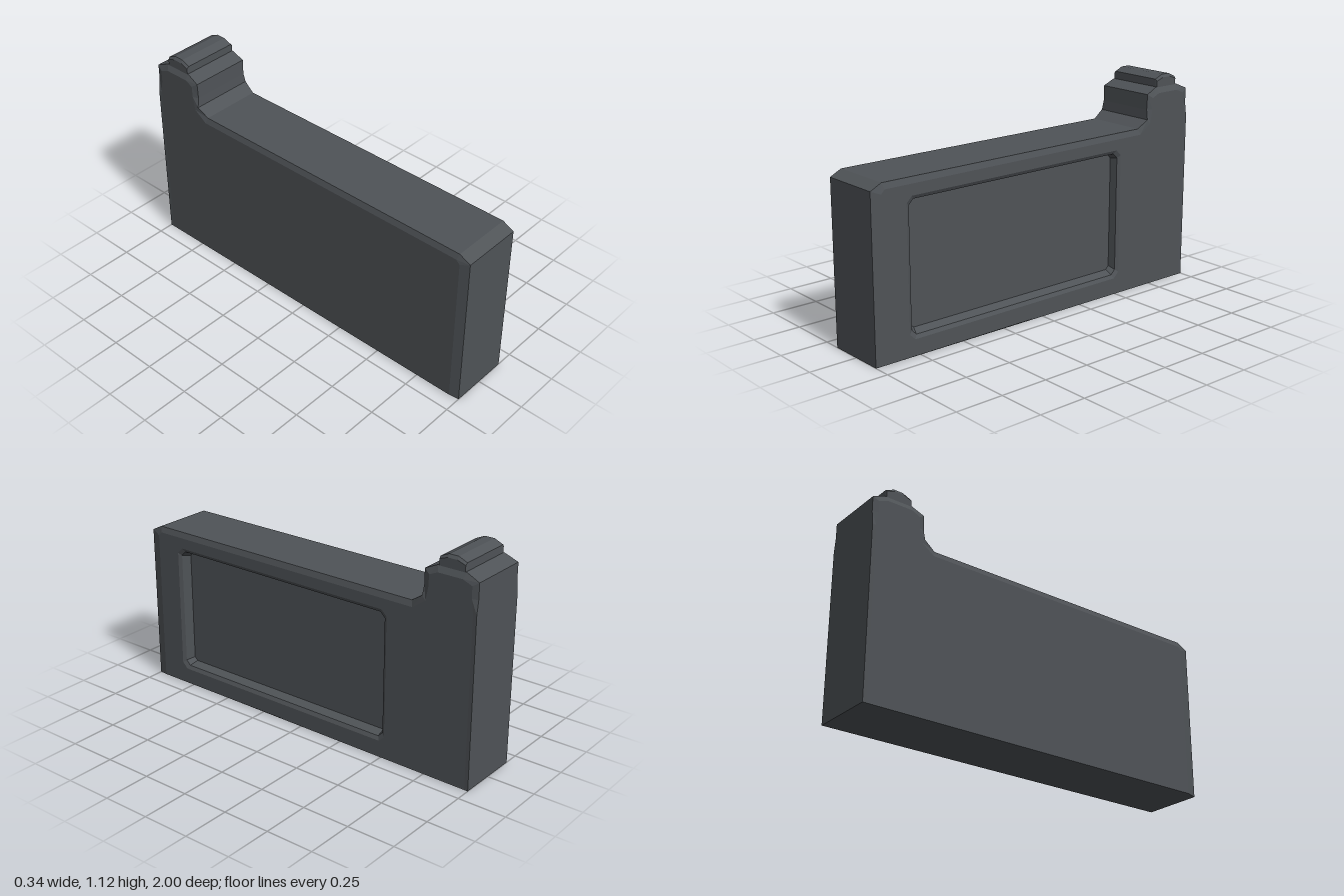
import * as THREE from 'three';
import { mergeGeometries } from 'three/addons/utils/BufferGeometryUtils.js';

// Profiles are [u, y] points, counter-clockwise, with u = -z; rings add w = depth along x.
const vec = (pts) => pts.map(([u, y]) => new THREE.Vector2(u, y));
const at = (pts, w) => pts.map(([u, y]) => [u, y, w]);
const mirrored = (ring) => ring.map(([u, y, w]) => [u, y, -w]);

// Joins successive rings with flat quads
function bands(rings) {
  const pos = [];
  for (let r = 0; r + 1 < rings.length; r++) {
    const a = rings[r], b = rings[r + 1], n = a.length;
    for (let i = 0; i < n; i++) {
      const j = (i + 1) % n;
      pos.push(...a[i], ...a[j], ...b[j], ...a[i], ...b[j], ...b[i]);
    }
  }
  const g = new THREE.BufferGeometry();
  g.setAttribute('position', new THREE.Float32BufferAttribute(pos, 3));
  g.computeVertexNormals();
  return g;
}

// Flat face at depth w, facing +w, or facing -w when back is true
function face(pts, w, { hole, back } = {}) {
  const shape = new THREE.Shape(vec(back ? pts.map(([u, y]) => [-u, y]) : pts));
  if (hole) shape.holes.push(new THREE.Path(vec(hole)));
  const g = new THREE.ShapeGeometry(shape).toNonIndexed();
  g.deleteAttribute('uv');
  if (back) g.rotateY(Math.PI);
  return g.translate(0, 0, w);
}

// Rectangle with cut corners
const cutRect = (u0, u1, y0, y1, c) => [
  [u0 + c, y0], [u1 - c, y0], [u1, y0 + c], [u1, y1 - c],
  [u1 - c, y1], [u0 + c, y1], [u0, y1 - c], [u0, y0 + c],
];

// Block from a rim ring, closed by flat sides at depth wSide
function bevelBlock(rim, side, wSide, hole) {
  return [
    bands([at(side, -wSide), mirrored(rim), rim, at(side, wSide)]),
    face(side, wSide, { hole }),
    face(side, -wSide, { back: true }),
  ];
}

export function createModel() {
  const group = new THREE.Group();
  const gunmetal = new THREE.MeshStandardMaterial({ color: 0x4f5357 });
  const add = (name, parts) => {
    const mesh = new THREE.Mesh(mergeGeometries(parts).rotateY(Math.PI / 2), gunmetal);
    mesh.name = name;
    group.add(mesh);
  };

  // Main slab with raised rear neck; full width at the lower back, pinched at the neck
  const rim = [
    [-1, 0, 0.16], [1, 0, 0.171], [1, 0.88, 0.171], [1, 0.95, 0.161], [1, 1.03, 0.161],
    [0.93, 1.06, 0.155], [0.78, 1.06, 0.155], [0.715, 1.03, 0.16], [0.713, 0.95, 0.158],
    [0.71, 0.9, 0.168], [0.65, 0.86, 0.16], [-0.94, 0.86, 0.16], [-1, 0.83, 0.16],
  ];
  const side = [
    [-0.95, 0.005], [0.98, 0.005], [0.98, 0.88], [0.97, 0.95], [0.97, 1.01],
    [0.92, 1.03], [0.79, 1.03], [0.745, 1.01], [0.743, 0.95],
    [0.73, 0.88], [0.66, 0.83], [-0.93, 0.83], [-0.95, 0.81],
  ];
  const lip = cutRect(-0.815, 0.52, 0.088, 0.774, 0.03);
  const edge = cutRect(-0.797, 0.503, 0.107, 0.756, 0.025);
  const floor = cutRect(-0.775, 0.497, 0.125, 0.742, 0.018);
  add('body', bevelBlock(rim, side, 0.17, lip));

  // Recessed panel on the left side: soft lip, steep wall, flat floor
  add('recessedPanel', [
    bands([at(lip, 0.17), at(edge, 0.16), at(floor, 0.118)]),
    face(floor, 0.118),
  ]);

  // Small ridge on top of the neck
  const ridge = [
    [0.785, 1.05], [0.925, 1.05], [0.925, 1.1], [0.88, 1.12], [0.83, 1.12], [0.785, 1.1],
  ];
  const ridgeSide = [
    [0.787, 1.05], [0.923, 1.05], [0.923, 1.09], [0.88, 1.105], [0.83, 1.105], [0.787, 1.09],
  ];
  add('topRidge', bevelBlock(at(ridge, 0.146), ridgeSide, 0.156));

  return group;
}
